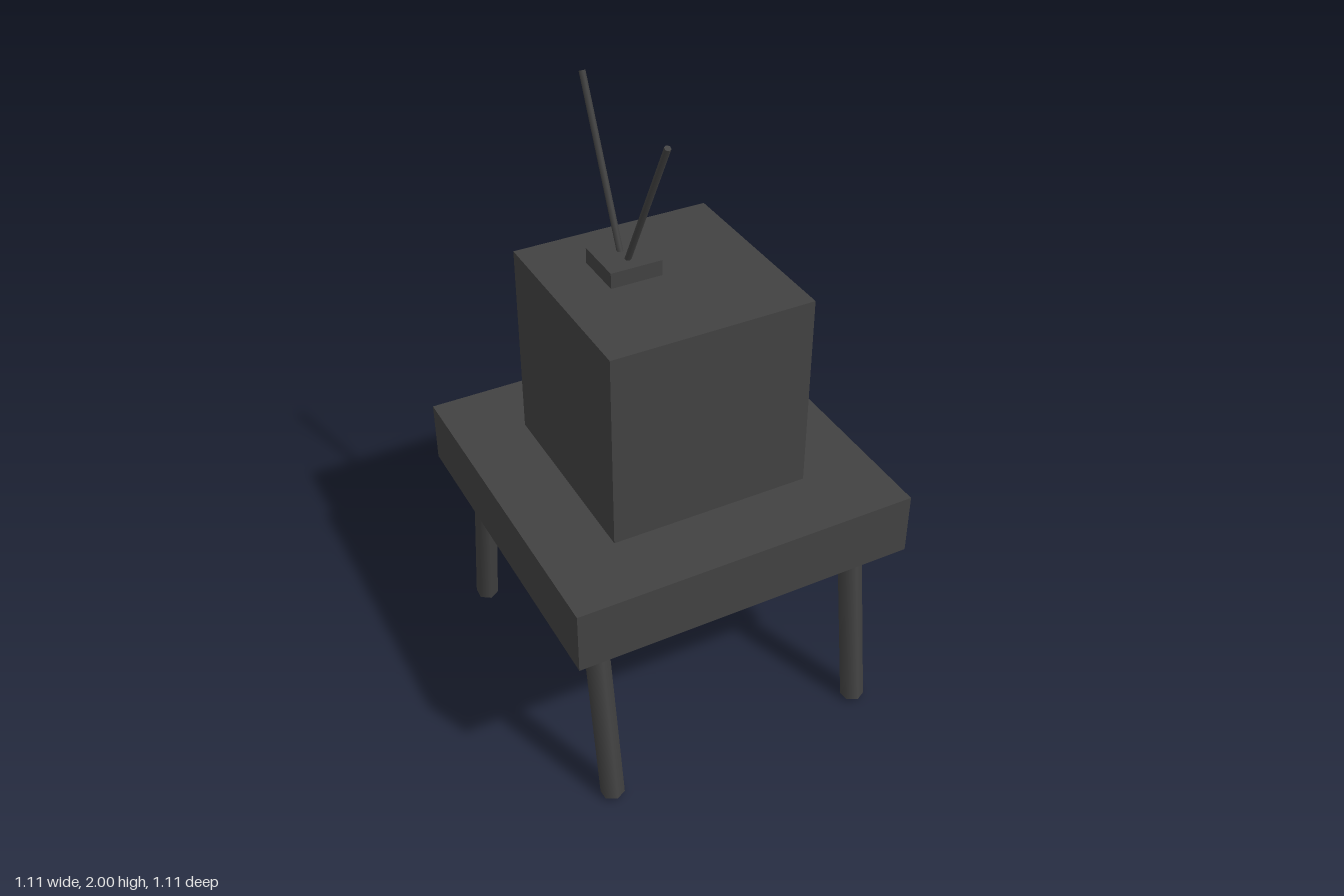
import * as THREE from 'three';

export function createModel() {
  const model = new THREE.Group();
  const charcoal = new THREE.MeshStandardMaterial({ name: 'charcoal', color: 0x424242 });
  const paleGrey = new THREE.MeshStandardMaterial({ name: 'paleGrey', color: 0xe2e2e2 });

  const add = (name, geometry, material = charcoal) => {
    const mesh = new THREE.Mesh(geometry, material);
    mesh.name = name;
    model.add(mesh);
    return mesh;
  };

  // Box given by its minimum and maximum corners
  const box = (name, min, max) => {
    const size = max.map((v, i) => v - min[i]);
    const mesh = add(name, new THREE.BoxGeometry(...size));
    mesh.position.set(...min.map((v, i) => v + size[i] / 2));
  };

  // Six-sided rod between two points
  const rod = (name, from, to, radius) => {
    const a = new THREE.Vector3(...from);
    const dir = new THREE.Vector3(...to).sub(a);
    const mesh = add(name, new THREE.CylinderGeometry(radius, radius, dir.length(), 6));
    mesh.position.copy(a).addScaledVector(dir, 0.5);
    mesh.quaternion.setFromUnitVectors(new THREE.Vector3(0, 1, 0), dir.normalize());
  };

  // Table top, television cabinet and aerial base
  box('tableTop', [-0.555, 0.63, -0.555], [0.555, 0.835, 0.555]);
  box('cabinet', [-0.328, 0.835, -0.325], [0.316, 1.475, 0.325]);
  box('aerialBase', [-0.165, 1.475, -0.165], [0, 1.525, 0]);

  // Legs, splayed along z
  for (const sx of [1, -1]) {
    for (const sz of [1, -1]) {
      const name = (sz > 0 ? 'front' : 'back') + (sx > 0 ? 'Left' : 'Right') + 'Leg';
      rod(name, [sx * 0.443, 0.006, sz * 0.512], [sx * 0.443, 0.66, sz * 0.412], 0.038);
    }
  }

  // Two aerial rods
  rod('frontAerial', [-0.084, 1.5, -0.066], [-0.084, 1.98, 0.19], 0.01);
  rod('backAerial', [-0.084, 1.5, -0.093], [-0.084, 1.995, -0.328], 0.01);

  // Rounded uneven screen: a shallow dome on the +x face, outline as [z, y]
  const outline = [
    [0.005, 1.361], [-0.085, 1.342], [-0.15, 1.305], [-0.19, 1.18], [-0.178, 1.05], [-0.117, 0.977],
    [-0.02, 0.965], [0.095, 0.997], [0.185, 1.093], [0.2, 1.183], [0.16, 1.279], [0.095, 1.336],
  ].map(([z, y]) => new THREE.Vector3(0, y, z));
  const rim = new THREE.CatmullRomCurve3(outline, true).getPoints(48).slice(0, 48);
  const n = rim.length, rings = 4, positions = [], indices = [];
  for (let r = 0; r <= rings; r++) {
    const t = r / rings;
    for (const p of rim) {
      positions.push(0.318 + 0.008 * (1 - t * t), 1.16 + (p.y - 1.16) * t, p.z * t);
    }
  }
  for (let r = 0; r < rings; r++) {
    for (let i = 0; i < n; i++) {
      const j = (i + 1) % n, a = r * n, b = a + n;
      indices.push(a + i, b + j, b + i);
      if (r > 0) indices.push(a + i, a + j, b + j);
    }
  }
  const screen = new THREE.BufferGeometry();
  screen.setAttribute('position', new THREE.Float32BufferAttribute(positions, 3));
  screen.setIndex(indices);
  screen.computeVertexNormals();
  // The centre ring collapses to one point, so its normals face straight out
  for (let i = 0; i < n; i++) screen.attributes.normal.setXYZ(i, 1, 0, 0);
  add('screen', screen, paleGrey);

  return model;
}
